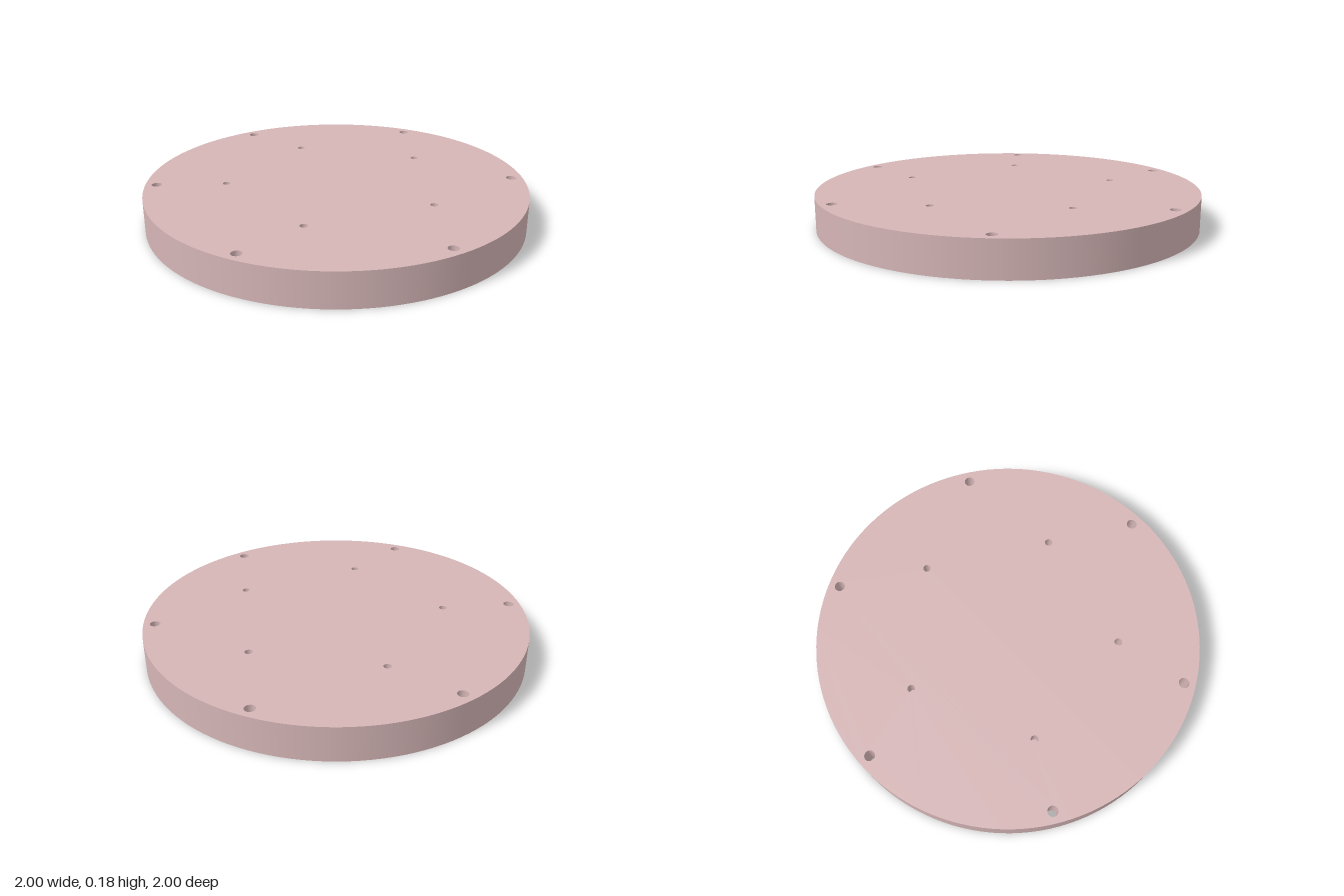
import * as THREE from 'three';

const HEIGHT = 0.18, POCKET_DEPTH = 0.09;
const RIM_SEGMENTS = 128, HOLE_SEGMENTS = 32;

// Evenly spaced hole centres on a circle, as [x, z]
function ring(count, radius, startDegrees) {
  return Array.from({ length: count }, (_, i) => {
    const a = THREE.MathUtils.degToRad(startDegrees + (i * 360) / count);
    return [radius * Math.cos(a), radius * Math.sin(a)];
  });
}

function circlePoints(x, y, r, segments) {
  return Array.from({ length: segments }, (_, i) => {
    const a = (i / segments) * Math.PI * 2;
    return new THREE.Vector2(x + r * Math.cos(a), y + r * Math.sin(a));
  });
}

// Round plate face pierced by holes; facing is +1 for up, -1 for down
function faceGeometry(holes, facing) {
  const shape = new THREE.Shape(circlePoints(0, 0, 1, RIM_SEGMENTS));
  for (const { x, z, r } of holes) {
    shape.holes.push(new THREE.Path(circlePoints(x, -facing * z, r, HOLE_SEGMENTS)));
  }
  return new THREE.ShapeGeometry(shape).rotateX((-facing * Math.PI) / 2);
}

// Wall between two heights; going downward makes it face inward
function wallGeometry(r, yStart, yEnd, segments) {
  return new THREE.LatheGeometry(
    [new THREE.Vector2(r, yStart), new THREE.Vector2(r, yEnd)], segments);
}

export function createModel() {
  const group = new THREE.Group();
  group.name = 'roundPlate';
  const material = new THREE.MeshStandardMaterial({ color: 0xd6b6b7 });

  const add = (name, geometry, x = 0, y = 0, z = 0) => {
    const mesh = new THREE.Mesh(geometry, material);
    mesh.name = name;
    mesh.position.set(x, y, z);
    group.add(mesh);
  };

  // Six through holes near the rim, five blind pockets further in
  const boltHoles = ring(6, 0.94, 90).map(([x, z]) => ({ x, z, r: 0.027 }));
  const pockets = ring(5, 0.577, -6).map(([x, z]) => ({ x, z, r: 0.02 }));

  // Plate body
  add('topFace', faceGeometry([...boltHoles, ...pockets], 1), 0, HEIGHT, 0);
  add('bottomFace', faceGeometry(boltHoles, -1));
  add('rim', wallGeometry(1, 0, HEIGHT, RIM_SEGMENTS));

  // Through hole walls
  for (const { x, z, r } of boltHoles) {
    add('boltHole', wallGeometry(r, HEIGHT, 0, HOLE_SEGMENTS), x, 0, z);
  }

  // Pocket walls and floors
  const floorY = HEIGHT - POCKET_DEPTH;
  for (const { x, z, r } of pockets) {
    add('pocketWall', wallGeometry(r, HEIGHT, floorY, HOLE_SEGMENTS), x, 0, z);
    add('pocketFloor', new THREE.CircleGeometry(r, HOLE_SEGMENTS).rotateX(-Math.PI / 2), x, floorY, z);
  }
  return group;
}
